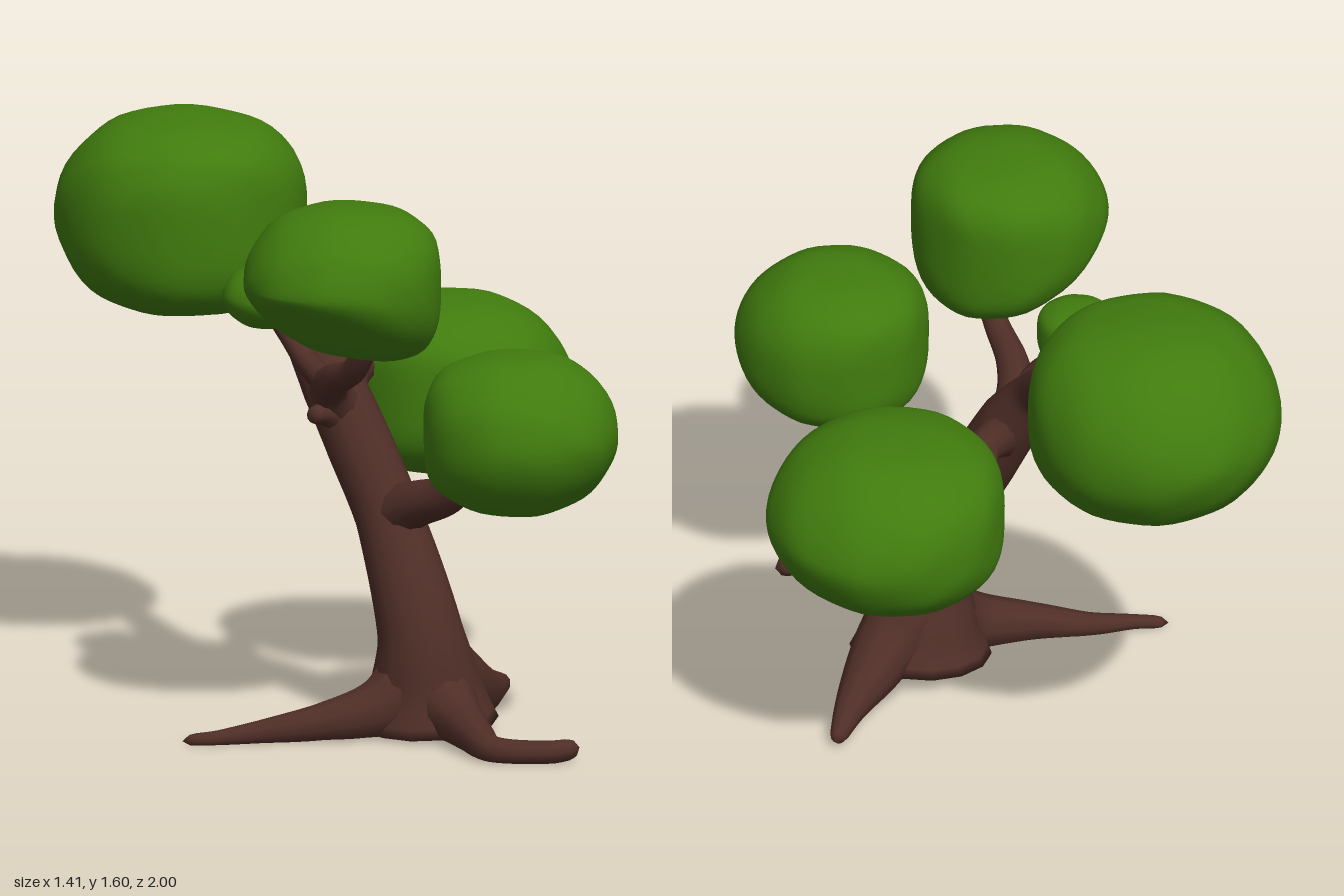
import * as THREE from 'three';
import { mergeVertices } from 'three/addons/utils/BufferGeometryUtils.js';

const bark = new THREE.MeshStandardMaterial({ color: 0x4f2e27 });
const leaf = new THREE.MeshStandardMaterial({ color: 0x417c0e });

// Share vertices so the surface shades smoothly
function smooth(geometry) {
  geometry.deleteAttribute('normal');
  geometry.deleteAttribute('uv');
  const merged = mergeVertices(geometry, 1e-4);
  merged.computeVertexNormals();
  return merged;
}

// Tapered limb through points [x, y, z, radius]; closed, rounded ends; flat below floor
function limb(name, points, { floor = -1, sides = 10 } = {}) {
  const curve = new THREE.CatmullRomCurve3(points.map(p => new THREE.Vector3(p[0], p[1], p[2])));
  const rings = points.length * 6;
  const geometry = new THREE.TubeGeometry(curve, rings, 1, sides);
  const pos = geometry.attributes.position;
  const v = new THREE.Vector3();
  for (let i = 0; i <= rings; i++) {
    const centre = curve.getPointAt(i / rings);
    const t = curve.getUtoTmapping(i / rings) * (points.length - 1);
    const k = Math.min(Math.floor(t), points.length - 2);
    let r = THREE.MathUtils.lerp(points[k][3], points[k + 1][3], t - k);
    if (i === 0 || i === rings) r = 0;
    if (i === rings - 1) r *= 0.85;
    for (let j = 0; j <= sides; j++) {
      const n = i * (sides + 1) + j;
      v.fromBufferAttribute(pos, n).sub(centre).multiplyScalar(r).add(centre);
      pos.setXYZ(n, v.x, Math.max(v.y, floor), v.z);
    }
  }
  const mesh = new THREE.Mesh(smooth(geometry), bark);
  mesh.name = name;
  return mesh;
}

// Round in plan, boxy towards the trunk, pointed along the outward angle; slant lifts the outer underside
function foliage(name, { x, z, r, bottom, top, out, slant = 0 }) {
  const geometry = smooth(new THREE.IcosahedronGeometry(1, 9));
  const pos = geometry.attributes.position;
  const h = (top - bottom) / 2;
  const v = new THREE.Vector3();
  for (let i = 0; i < pos.count; i++) {
    v.fromBufferAttribute(pos, i).normalize();
    const flat = Math.hypot(v.x, v.z);
    const a = Math.atan2(v.z, v.x);
    const outward = Math.cos(a - out) * flat;
    const power = 0.84 + 0.26 * outward;
    const bump = 1 + 0.009 * Math.sin(9 * v.x + 4 * v.y + x * 20) * Math.sin(8 * v.z - 5 * v.y);
    const ring = r * Math.pow(flat, power) * bump;
    let y = Math.sign(v.y) * Math.pow(Math.abs(v.y), power) * h * bump;
    if (y < 0) y *= 1 - slant * outward;
    pos.setXYZ(i, Math.cos(a) * ring, y, Math.sin(a) * ring);
  }
  geometry.computeVertexNormals();
  const mesh = new THREE.Mesh(geometry, leaf);
  mesh.position.set(x, (top + bottom) / 2, z);
  mesh.name = name;
  return mesh;
}

export function createModel() {
  const tree = new THREE.Group();
  tree.name = 'tree';

  // Leaning trunk running on into the rear branch
  tree.add(limb('trunk', [
    [-0.04, 0.02, 0.36, 0.21], [-0.05, 0.12, 0.365, 0.165], [-0.07, 0.29, 0.365, 0.12],
    [-0.07, 0.6, 0.22, 0.093], [-0.09, 0.78, 0.12, 0.093], [-0.12, 0.95, 0.03, 0.088],
    [-0.14, 1.08, -0.06, 0.066], [-0.1, 1.18, -0.18, 0.055], [-0.04, 1.27, -0.31, 0.045],
    [-0.03, 1.29, -0.35, 0.04],
  ], { floor: 0.02, sides: 14 }));

  // Roots spreading along the ground
  const roots = {
    rightRoot: [[-0.05, 0.17, 0.36, 0.13], [-0.2, 0.09, 0.34, 0.085], [-0.36, 0.06, 0.28, 0.055],
      [-0.5, 0.04, 0.2, 0.035], [-0.62, 0.03, 0.15, 0.022], [-0.7, 0.025, 0.1, 0.018]],
    leftRoot: [[-0.05, 0.2, 0.36, 0.13], [0.07, 0.13, 0.34, 0.1], [0.19, 0.08, 0.28, 0.075],
      [0.31, 0.06, 0.2, 0.045], [0.42, 0.04, 0.11, 0.02]],
    frontRoot: [[-0.05, 0.15, 0.37, 0.13], [-0.07, 0.08, 0.53, 0.075], [-0.11, 0.06, 0.66, 0.055],
      [-0.14, 0.045, 0.79, 0.04], [-0.03, 0.045, 0.9, 0.033], [0.06, 0.05, 0.92, 0.028]],
  };
  for (const [name, points] of Object.entries(roots)) tree.add(limb(name, points, { floor: 0.015 }));

  // Branches that carry the foliage, and two short stubs
  const branches = {
    frontBranch: [[-0.07, 0.6, 0.22, 0.08], [-0.06, 0.65, 0.32, 0.068], [-0.04, 0.7, 0.45, 0.056],
      [-0.02, 0.8, 0.56, 0.045]],
    leftBranch: [[-0.1, 0.9, 0.05, 0.07], [-0.02, 0.95, -0.02, 0.055], [0.08, 0.96, -0.07, 0.046],
      [0.22, 0.93, -0.08, 0.04]],
    rightBranch: [[-0.11, 0.87, 0.07, 0.075], [-0.19, 0.96, 0.11, 0.058], [-0.24, 1.01, 0.2, 0.045],
      [-0.27, 1.06, 0.32, 0.036], [-0.28, 1.18, 0.42, 0.03]],
    smallBranch: [[-0.18, 0.95, 0.11, 0.04], [-0.25, 1.04, 0.08, 0.033], [-0.27, 1.1, 0.03, 0.026],
      [-0.3, 1.18, -0.03, 0.02]],
    rightStub: [[-0.13, 0.86, 0.08, 0.05], [-0.2, 0.89, 0.1, 0.035], [-0.26, 0.89, 0.11, 0.022]],
    leftTwig: [[0.0, 0.96, -0.04, 0.025], [0.05, 0.97, -0.12, 0.016], [0.12, 0.98, -0.2, 0.01]],
  };
  for (const [name, points] of Object.entries(branches)) tree.add(limb(name, points));

  // Foliage clumps
  tree.add(
    foliage('rearFoliage', { x: -0.13, z: -0.65, r: 0.35, bottom: 1.04, top: 1.61, out: -1.4 }),
    foliage('rightFoliage', { x: -0.38, z: 0.41, r: 0.275, bottom: 1.13, top: 1.56, out: 2.9, slant: 0.5 }),
    foliage('frontFoliage', { x: 0.005, z: 0.725, r: 0.272, bottom: 0.69, top: 1.14, out: 1.5 }),
    foliage('leftFoliage', { x: 0.38, z: -0.07, r: 0.332, bottom: 0.625, top: 1.12, out: -0.1 }),
    foliage('smallFoliage', { x: -0.305, z: -0.035, r: 0.12, bottom: 1.125, top: 1.3, out: 3.1 }),
  );
  return tree;
}
